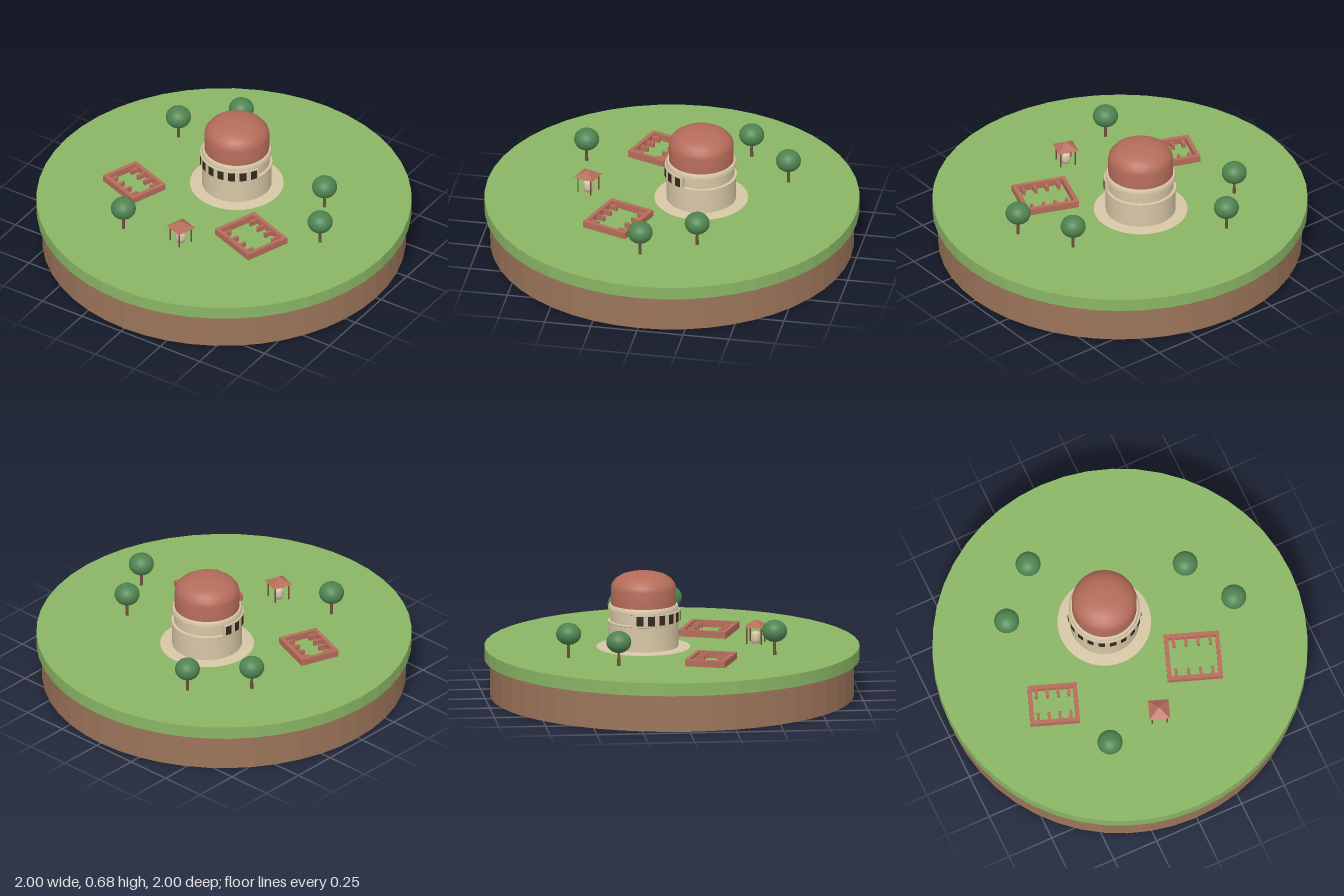
import * as THREE from 'three';
import { toCreasedNormals } from 'three/addons/utils/BufferGeometryUtils.js';

const material = (name, color) => Object.assign(new THREE.MeshStandardMaterial({ color }), { name });
const GROUND = 0.27;
const TURN = -0.35; // the buildings all face slightly to one side

export function createModel() {
  const grass = material('grass', 0x8ab565);
  const soil = material('soil', 0x9c755a);
  const stone = material('stone', 0xd6c6a5);
  const terracotta = material('terracotta', 0xb56c5a);
  const leaf = material('leaf', 0x4f8450);
  const wood = material('wood', 0x6e5038);
  const dark = material('dark opening', 0x33291f);

  const model = new THREE.Group();
  model.name = 'islandObservatory';

  const add = (parent, name, geometry, mat, x = 0, y = 0, z = 0) => {
    const mesh = new THREE.Mesh(geometry, mat);
    mesh.name = name;
    mesh.position.set(x, y, z);
    parent.add(mesh);
    return mesh;
  };
  const group = (name, x, z, turn = 0) => {
    const g = new THREE.Group();
    g.name = name;
    g.position.set(x, GROUND, z);
    g.rotation.y = turn;
    model.add(g);
    return g;
  };
  const lathe = (profile, segments = 40) =>
    new THREE.LatheGeometry(profile.map(([r, y]) => new THREE.Vector2(r, y)), segments);
  const faceted = (r, h) => toCreasedNormals(new THREE.CylinderGeometry(r, r, h, 48), 0.05);

  // Round island
  add(model, 'soilBase', faceted(0.97, 0.2), soil, 0, 0.1, 0);
  add(model, 'grassTop', faceted(1, 0.07), grass, 0, 0.235, 0);

  // Domed tower, heights measured from the grass
  const tower = group('tower', -0.02, -0.155, TURN);
  add(tower, 'plinth', lathe([[0.25, 0], [0.25, 0.003], [0.18, 0.007]]), stone);
  add(tower, 'towerBody', toCreasedNormals(lathe([
    [0.186, 0], [0.186, 0.138], [0.19, 0.14], [0.19, 0.146], [0.176, 0.148], [0.176, 0.204],
    [0.188, 0.208], [0.188, 0.222], [0.182, 0.234], [0.165, 0.236],
  ]), 0.5), stone);
  add(tower, 'dome', toCreasedNormals(lathe([
    [0.173, 0.234], [0.173, 0.325], [0.168, 0.345], [0.15, 0.368],
    [0.12, 0.388], [0.08, 0.4], [0.04, 0.404], [0, 0.405],
  ]), 0.9), terracotta);

  // Half-round gallery across the front of the tower
  const arc = new THREE.Shape();
  arc.absarc(0, 0, 0.195, 0, Math.PI, false);
  arc.absarc(0, 0, 0.17, Math.PI, 0, true);
  const gallery = new THREE.ExtrudeGeometry(arc, { depth: 0.06, bevelEnabled: false, curveSegments: 40 });
  gallery.rotateX(Math.PI / 2);
  add(tower, 'gallery', toCreasedNormals(gallery, 0.5), stone, 0, 0.206, 0);
  const windows = 10;
  const step = Math.PI / windows;
  for (let i = 0; i < windows; i++) {
    const start = -Math.PI / 2 + (i + 0.21) * step;
    add(tower, 'galleryWindow',
      new THREE.CylinderGeometry(0.198, 0.198, 0.052, 4, 1, true, start, step * 0.58), dark, 0, 0.176, 0);
  }

  // Low walled enclosures with short inner partitions
  const enclosure = (name, x, z, w, d) => {
    const g = group(name, x, z, TURN);
    const t = 0.022;
    for (const s of [-1, 1]) {
      add(g, 'longWall', new THREE.BoxGeometry(w, 0.036, t), terracotta, 0, 0.018, s * (d - t) / 2);
      add(g, 'shortWall', new THREE.BoxGeometry(t, 0.036, d - 2 * t), terracotta, s * (w - t) / 2, 0.018, 0);
      for (let i = 0; i < 4; i++) {
        add(g, 'partition', new THREE.BoxGeometry(0.015, 0.028, 0.045), terracotta,
          (i - 1.5) * w * 0.22, 0.014, s * (d / 2 - t - 0.022));
      }
    }
  };
  enclosure('smallEnclosure', -0.465, 0.163, 0.264, 0.22);
  enclosure('largeEnclosure', 0.324, 0.23, 0.296, 0.26);

  // Open pavilion sheltering a stone urn
  const pavilion = group('pavilion', 0.02, 0.45, TURN);
  const roof = new THREE.ConeGeometry(0.11 / Math.SQRT2, 0.038, 4);
  roof.rotateY(Math.PI / 4);
  add(pavilion, 'pavilionRoof', toCreasedNormals(roof, 0.1), terracotta, 0, 0.11, 0);
  for (const x of [-0.04, 0.04]) {
    for (const z of [-0.04, 0.04]) {
      add(pavilion, 'post', new THREE.CylinderGeometry(0.004, 0.004, 0.092, 8), wood, x, 0.046, z);
    }
  }
  add(pavilion, 'urn', lathe([
    [0, 0], [0.022, 0], [0.026, 0.02], [0.026, 0.045], [0.02, 0.06], [0, 0.066],
  ], 20), stone);

  // Trees
  const trees = [[-0.27, -0.58], [-0.51, -0.335], [0.49, -0.23], [0.645, 0.05], [-0.3, 0.52]];
  for (const [x, z] of trees) {
    const tree = group('tree', x, z);
    add(tree, 'trunk', new THREE.CylinderGeometry(0.007, 0.009, 0.09, 10), wood, 0, 0.045, 0);
    add(tree, 'crown', new THREE.SphereGeometry(0.067, 24, 16), leaf, 0, 0.13, 0).scale.y = 0.88;
  }

  return model;
}
